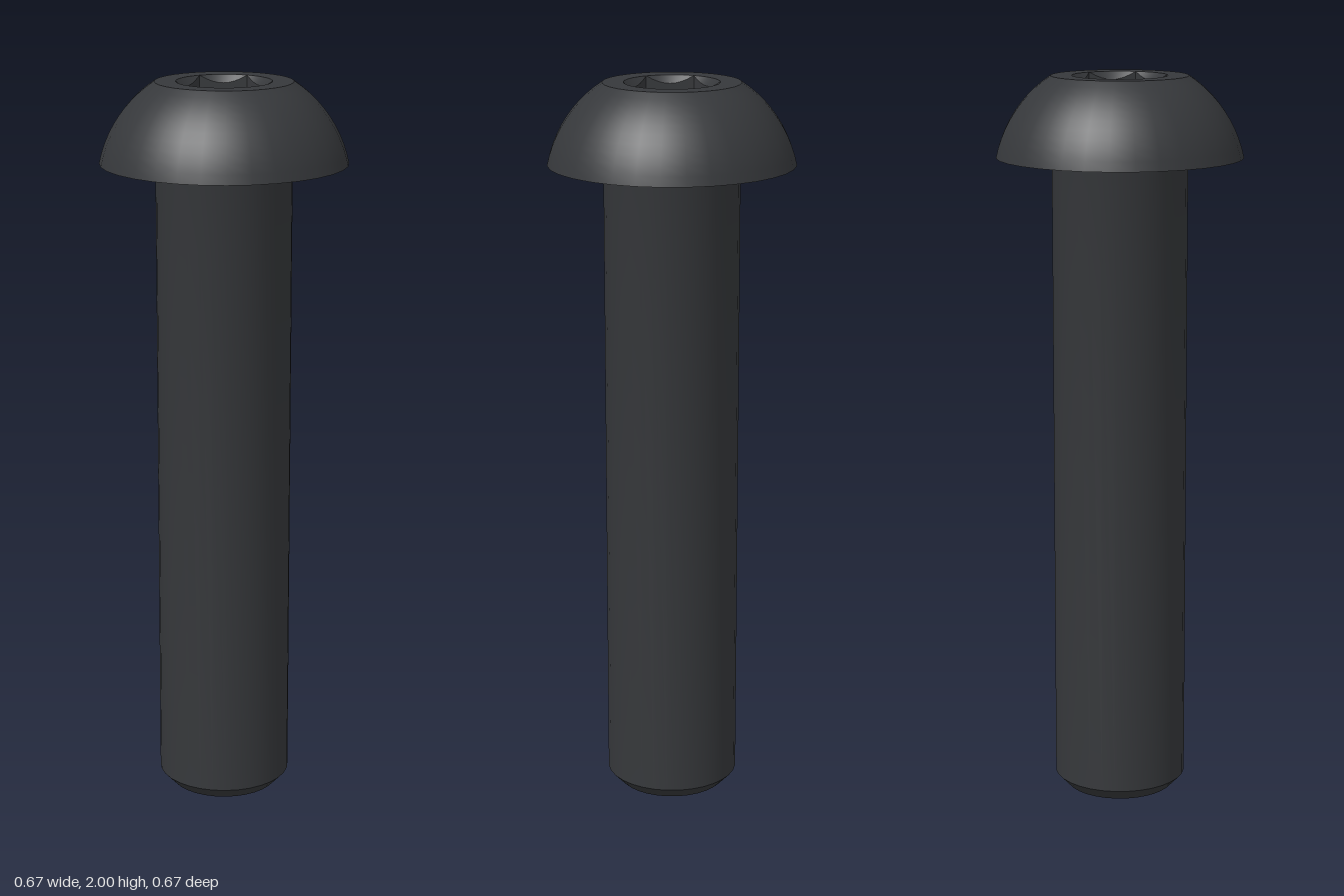
import * as THREE from 'three';
import { toCreasedNormals } from 'three/addons/utils/BufferGeometryUtils.js';

const SIDES = 32;
const HEAD_BASE = 1.783, HEAD_R = 0.333, TOP_R = 0.185, SHANK_R = 0.183;
const SOCKET_R = 0.128, FLAT_R = 0.111, SOCKET_FLOOR = 1.87;

const material = new THREE.MeshStandardMaterial({ color: 0x36383b });

function part(name, geometry) {
  const mesh = new THREE.Mesh(toCreasedNormals(geometry, 0.5), material);
  mesh.name = name;
  return mesh;
}

function lathe(points) {
  return new THREE.LatheGeometry(points.map(([r, y]) => new THREE.Vector2(r, y)), SIDES);
}

function circlePoints(radius, count) {
  return Array.from({ length: count }, (_, i) => {
    const a = (i / count) * Math.PI * 2;
    return new THREE.Vector2(Math.cos(a) * radius, Math.sin(a) * radius);
  });
}

// Spherical dome centred on the axis, through the base rim and the flat top
function headProfile() {
  const h = 2 - HEAD_BASE;
  const below = (HEAD_R ** 2 - TOP_R ** 2 - h * h) / (2 * h);
  const radius = Math.hypot(HEAD_R, below);
  const start = Math.atan2(below, HEAD_R), end = Math.atan2(below + h, TOP_R);
  const points = [[SHANK_R, HEAD_BASE]];
  for (let i = 0; i <= 10; i++) {
    const a = start + ((end - start) * i) / 10;
    points.push([radius * Math.cos(a), HEAD_BASE - below + radius * Math.sin(a)]);
  }
  return points;
}

// Round countersink running into a six-sided recess with a flat floor
function socketGeometry() {
  const n = 48, sector = Math.PI / 3;
  const positions = [], index = [];
  for (let i = 0; i <= n; i++) {
    const a = (i / n) * Math.PI * 2;
    const local = ((i % (n / 6)) / (n / 6)) * sector - sector / 2;
    const hex = Math.min(SOCKET_R, FLAT_R / Math.cos(local));
    const rows = [
      [SOCKET_R, 2],
      [hex, 2 - (SOCKET_R - hex) * 1.2],
      [hex, SOCKET_FLOOR],
      [0, SOCKET_FLOOR],
    ];
    for (const [r, y] of rows) positions.push(r * Math.cos(a), y, r * Math.sin(a));
    if (i === n) continue;
    for (let j = 0; j < 3; j++) {
      const p = i * 4 + j, q = p + 4;
      index.push(p, p + 1, q);
      if (j < 2) index.push(q, p + 1, q + 1);
    }
  }
  const geometry = new THREE.BufferGeometry();
  geometry.setAttribute('position', new THREE.Float32BufferAttribute(positions, 3));
  geometry.setIndex(index);
  geometry.computeVertexNormals();
  return geometry;
}

export function createModel() {
  const group = new THREE.Group();
  group.name = 'buttonHeadScrew';

  // Shank with chamfered tip and a small flare under the head
  group.add(part('shank', lathe([
    [0, 0], [0.15, 0], [SHANK_R, 0.035], [SHANK_R, 1.765], [0.186, 1.776], [0.193, HEAD_BASE],
  ])));

  group.add(part('head', lathe(headProfile())));

  // Flat ring around the socket
  const ring = new THREE.Shape(circlePoints(TOP_R, SIDES));
  ring.holes.push(new THREE.Path(circlePoints(SOCKET_R, 48)));
  group.add(part('headTop', new THREE.ShapeGeometry(ring).rotateX(-Math.PI / 2).translate(0, 2, 0)));

  group.add(part('hexSocket', socketGeometry()));
  return group;
}
